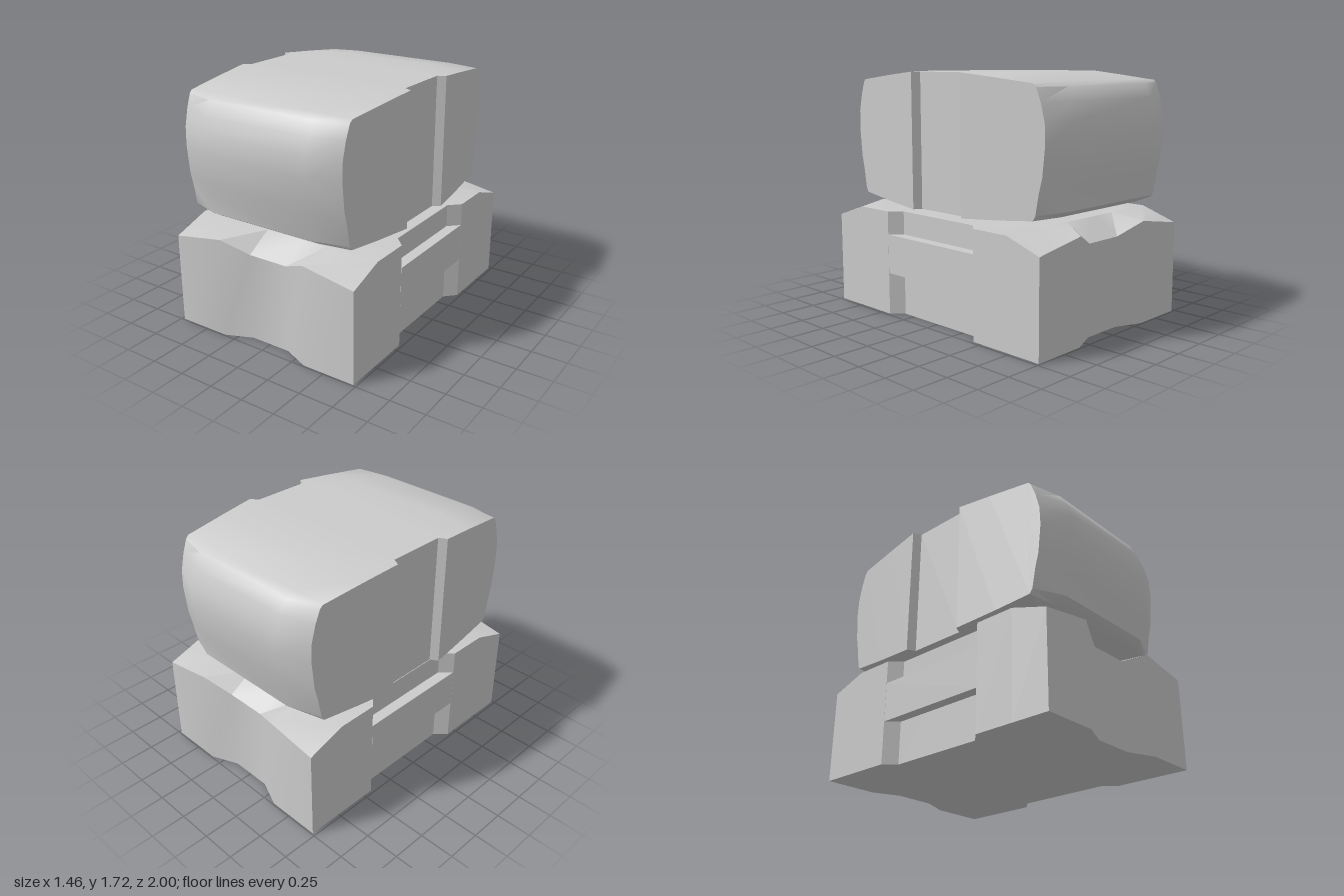
import * as THREE from 'three';
import { toCreasedNormals } from 'three/addons/utils/BufferGeometryUtils.js';

const material = new THREE.MeshStandardMaterial({ color: 0xcccccc });

// Collects triangles and quads (counter-clockwise from outside) into one geometry
function faceBuilder() {
  const pos = [];
  const tri = (a, b, c) => {
    const u = new THREE.Vector3(...b).sub(new THREE.Vector3(...a));
    const v = new THREE.Vector3(...c).sub(new THREE.Vector3(...a));
    if (u.cross(v).length() > 1e-7) pos.push(...a, ...b, ...c);
  };
  const quad = (a, b, c, d) => { tri(a, b, c); tri(a, c, d); };
  const mesh = (name, crease) => {
    const g = new THREE.BufferGeometry();
    g.setAttribute('position', new THREE.Float32BufferAttribute(pos, 3));
    const m = new THREE.Mesh(toCreasedNormals(g, crease), material);
    m.name = name;
    return m;
  };
  return { tri, quad, mesh };
}

// Bulging upper block with a vertical groove down each side
function upperBlock() {
  // Front halves of the [z, y] profiles, from the nose to the middle
  const topMid = [[1, 1.3], [0.99, 1.44], [0.95, 1.55], [0.9, 1.64], [0.83, 1.67], [0.5, 1.72], [0.24, 1.72], [0.21, 1.72]];
  const topEdge = [[0.91, 1.3], [0.905, 1.43], [0.875, 1.55], [0.84, 1.64], [0.82, 1.66], [0.5, 1.695], [0.24, 1.72], [0.21, 1.72]];
  const lowMid = [[1, 1.3], [0.975, 1.1], [0.945, 1], [0.925, 0.87], [0.85, 0.825], [0.55, 0.775], [0.24, 0.775], [0.21, 0.775]];
  const lowEdge = [[0.91, 1.3], [0.89, 1.1], [0.865, 1], [0.84, 0.86], [0.82, 0.828], [0.55, 0.8], [0.24, 0.775], [0.21, 0.775]];
  const full = (half) => [...half, ...half.map(([z, y]) => [-z, y]).reverse()];
  const centre = -0.037;
  const halfWidth = (z) => {
    const d = Math.abs(z);
    return d < 0.225 ? 0.635 : 0.69 - 0.06 * (d - 0.24) / 0.66;
  };
  const rows = (mid, edge) => full(mid).map(([z, y], k) => {
    const [ez, ey] = full(edge)[k];
    const w = halfWidth(ez);
    return [[centre - w, ey, ez], [centre - 0.41, y, z], [centre + 0.41, y, z], [centre + w, ey, ez]];
  });
  const top = rows(topMid, topEdge), low = rows(lowMid, lowEdge);
  const f = faceBuilder();
  for (let k = 0; k < top.length - 1; k++) {
    const [t, t2, b, b2] = [top[k], top[k + 1], low[k], low[k + 1]];
    for (let i = 0; i < 3; i++) {
      f.quad(t[i], t[i + 1], t2[i + 1], t2[i]);
      f.quad(b[i], b2[i], b2[i + 1], b[i + 1]);
    }
    f.quad(b[3], b2[3], t2[3], t[3]);
    f.quad(b[0], t[0], t2[0], b2[0]);
  }
  return f.mesh('upperBlock', 0.75);
}

// Base with hollows on all four sides and a top falling towards front and back
function base() {
  // One quarter of the outline: [x, z, height of the top rim]
  const quarter = [[0.15, 0.91, 0.63], [0.34, 0.99, 0.72], [0.728, 0.99, 0.655],
    [0.728, 0.72, 0.745], [0.728, 0.43, 0.745], [0.65, 0.35, 0.745]];
  const half = [...quarter, ...quarter.map(([x, z, y]) => [x, -z, y]).reverse()];
  const ring = [...half, ...half.map(([x, z, y]) => [-x, z, y]).reverse()];
  const floor = ring.map(([x, z]) => [x, 0, z]);
  const rim = ring.map(([x, z, y]) => [x, y, z]);
  const inner = ring.map(([x, z]) => [x, 0.745, Math.max(-0.72, Math.min(0.72, z))]);
  const f = faceBuilder();
  ring.forEach((_, i) => {
    const j = (i + 1) % ring.length;
    f.quad(floor[i], floor[j], rim[j], rim[i]);
    f.quad(rim[i], rim[j], inner[j], inner[i]);
  });
  const cap = (pts, flip) => {
    const flat = pts.map((p) => new THREE.Vector2(p[0], -p[2]));
    for (const [a, b, c] of THREE.ShapeUtils.triangulateShape(flat, [])) {
      if (flip) f.tri(pts[a], pts[c], pts[b]);
      else f.tri(pts[a], pts[b], pts[c]);
    }
  };
  cap(floor, true);
  cap(inner.filter((p, i) => !(Math.abs(p[0]) > 0.7 && Math.abs(ring[i][1]) > 0.9)), false);
  return f.mesh('base', 0.5);
}

// Bar bridging the hollow on one side of the base
function sideBar(side) {
  const shape = new THREE.Shape([[0.64, 0.34], [0.65, 0.35], [0.728, 0.428], [0.728, -0.428], [0.65, -0.35], [0.64, -0.34]]
    .map(([x, z]) => new THREE.Vector2(side * x, z)));
  const g = new THREE.ExtrudeGeometry(shape, { depth: 0.28, bevelEnabled: false });
  g.rotateX(-Math.PI / 2).translate(0, 0.3, 0);
  const m = new THREE.Mesh(g, material);
  m.name = side > 0 ? 'leftSideBar' : 'rightSideBar';
  return m;
}

export function createModel() {
  const group = new THREE.Group();
  group.name = 'blockOnBase';
  group.add(base(), sideBar(1), sideBar(-1), upperBlock());
  return group;
}
